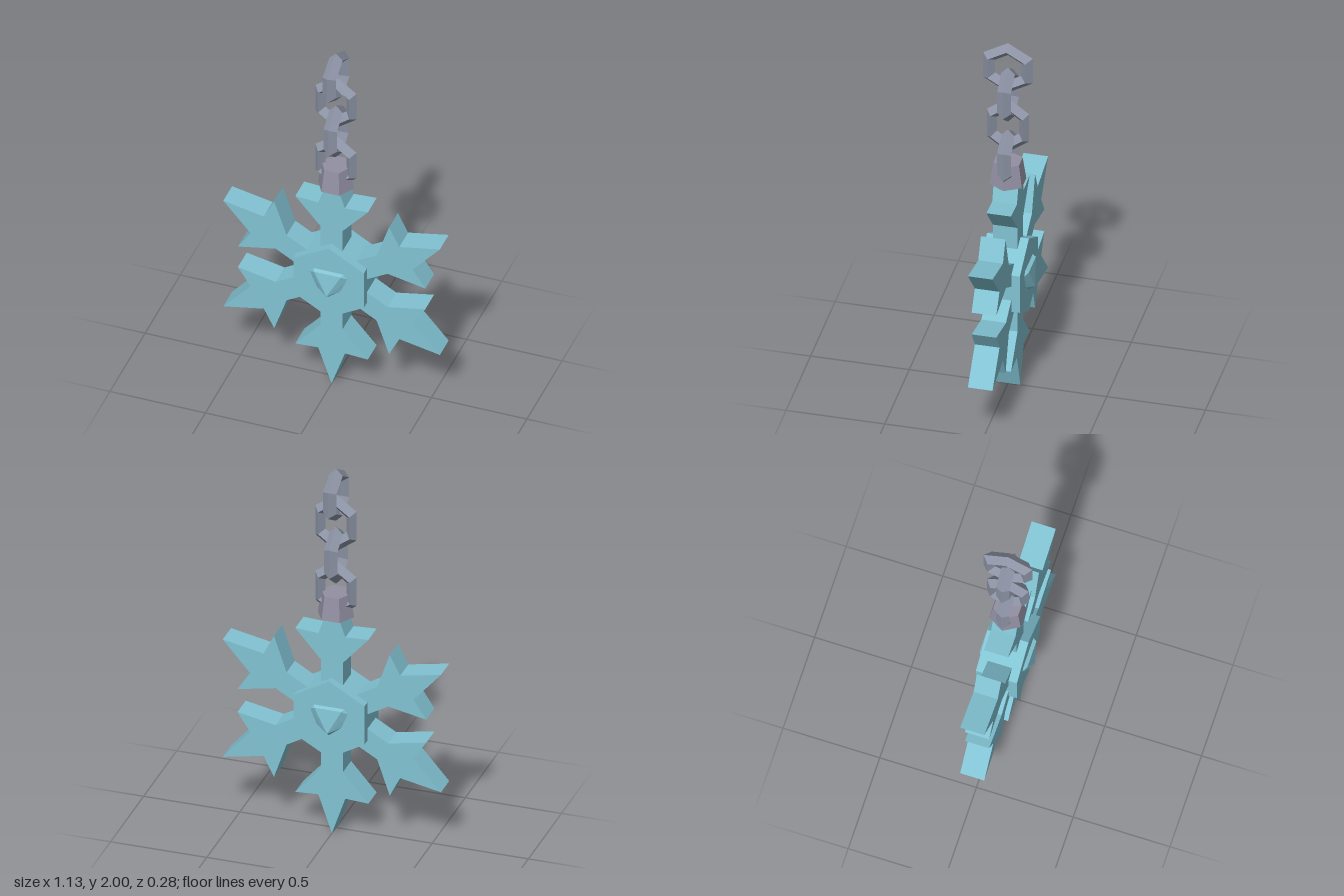
import * as THREE from 'three';
import { ConvexGeometry } from 'three/addons/geometries/ConvexGeometry.js';

const CENTRE_Y = 0.655;

const ice = new THREE.MeshStandardMaterial({ color: 0x82c3d3, flatShading: true });
ice.name = 'ice blue';
const steel = new THREE.MeshStandardMaterial({ color: 0x8f96a8, flatShading: true });
steel.name = 'steel grey';
const pewter = new THREE.MeshStandardMaterial({ color: 0x9390a3, flatShading: true });
pewter.name = 'pewter grey';

function addMesh(parent, name, geometry, material) {
  const mesh = new THREE.Mesh(geometry, material);
  mesh.name = name;
  parent.add(mesh);
  return mesh;
}

// Six barbed arms in one outline; each row is [sideways, outward] along an arm
function snowflakeGeometry() {
  const arm = [
    [0.057, 0.0987], [0.057, 0.305], [0.19, 0.457], [0.07, 0.45], [0, 0.655],
    [-0.07, 0.45], [-0.19, 0.457], [-0.057, 0.305],
  ];
  const points = [];
  for (let i = 0; i < 6; i++) {
    for (const [x, y] of arm) {
      points.push(new THREE.Vector2(x, y).rotateAround(new THREE.Vector2(), (i * Math.PI) / 3));
    }
  }
  const geometry = new THREE.ExtrudeGeometry(new THREE.Shape(points), { depth: 0.125, bevelEnabled: false });
  return geometry.translate(0, CENTRE_Y, -0.0625);
}

// Faceted gem tapering downward, the same on front and back
function gemGeometry() {
  const half = [
    [0.08, 0.73, 0.1], [0.105, 0.697, 0.1], [0.075, 0.625, 0.1], [0, 0.566, 0.1],
    [0.07, 0.719, 0.124], [0, 0.592, 0.138],
  ];
  const points = [];
  for (const [x, y, z] of half) {
    for (const sx of x ? [1, -1] : [1]) {
      for (const sz of [1, -1]) points.push(new THREE.Vector3(x * sx, y, z * sz));
    }
  }
  return new ConvexGeometry(points);
}

// Six-sided ring with a diamond section, pointing up
function linkGeometry(width, height, turned) {
  const geometry = new THREE.TorusGeometry(0.11, 0.035, 4, 6);
  geometry.rotateZ(Math.PI / 6);
  geometry.scale(width, height, 1);
  if (turned) geometry.rotateY(Math.PI / 2);
  return geometry;
}

export function createModel() {
  const model = new THREE.Group();
  model.name = 'snowflakePendant';

  addMesh(model, 'snowflakeArms', snowflakeGeometry(), ice);

  const hub = new THREE.CylinderGeometry(0.213, 0.213, 0.212, 6).rotateX(Math.PI / 2);
  addMesh(model, 'hexagonHub', hub, ice).position.y = CENTRE_Y;

  addMesh(model, 'centreGem', gemGeometry(), ice);

  // Tapered cap over the top arm
  const cap = new THREE.CylinderGeometry(0.075, 0.094, 0.125, 6).rotateY(Math.PI / 2);
  addMesh(model, 'chainCap', cap, pewter).position.y = 1.2525;

  // Chain links, alternately turned a quarter
  const chain = new THREE.Group();
  chain.name = 'chain';
  [1.857, 1.7, 1.52, 1.335].forEach((y, i) => {
    const geometry = i === 0 ? linkGeometry(1, 1, true) : linkGeometry(0.855, 1.1, i % 2 === 0);
    addMesh(chain, 'chainLink' + (i + 1), geometry, steel).position.y = y;
  });
  model.add(chain);

  return model;
}
